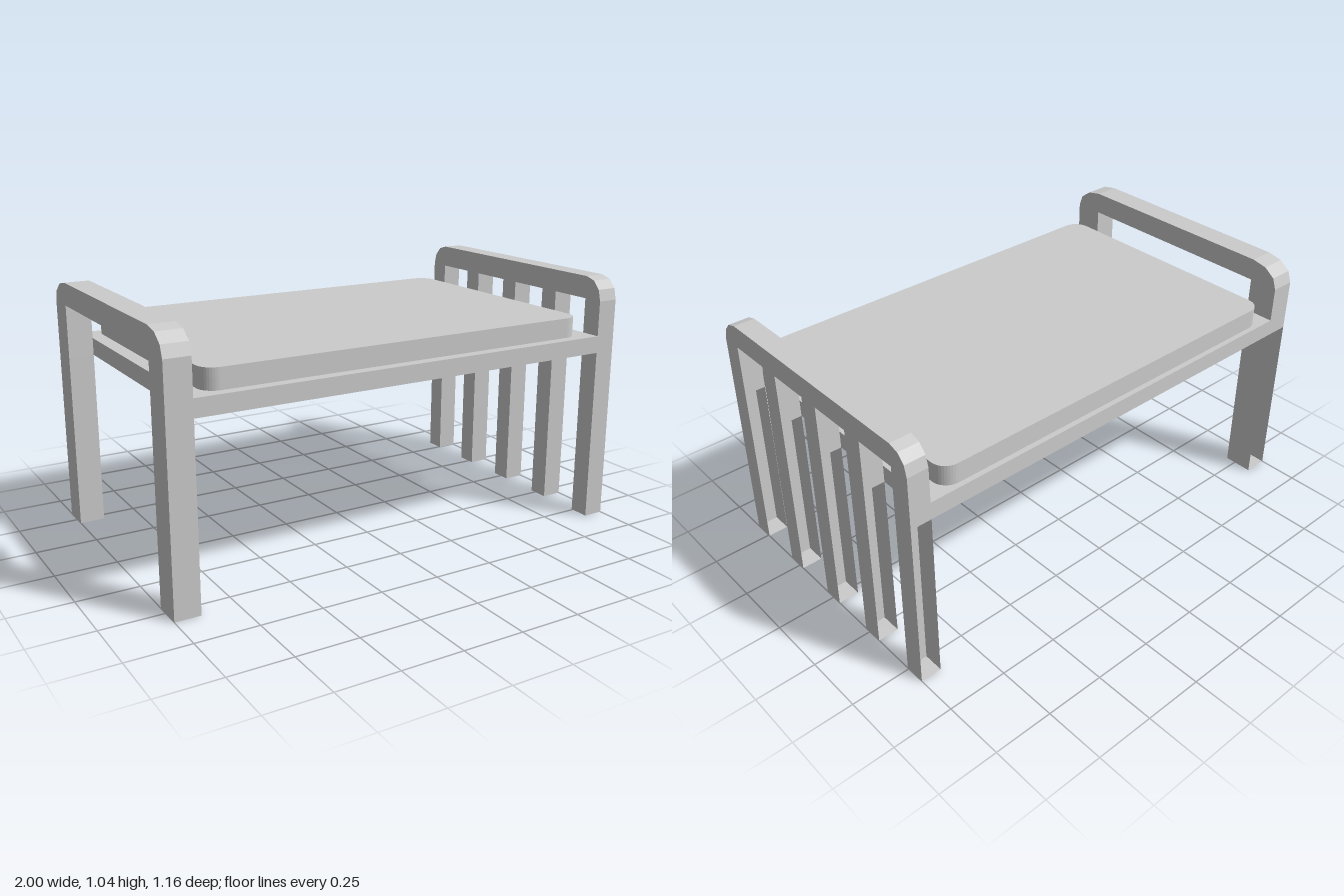
import * as THREE from 'three';

const HALF_DEPTH = 0.58, TOP = 1.037, BAR_BOTTOM = 0.944, DECK_BOTTOM = 0.727, DECK_TOP = 0.798;

// Copy of a geometry without the triangles whose corners satisfy the test
function dropFaces(geometry, test) {
  const g = geometry.index ? geometry.toNonIndexed() : geometry;
  const p = g.attributes.position, kept = [];
  for (let i = 0; i < p.count; i += 3) {
    const tri = [0, 1, 2].map(k => new THREE.Vector3().fromBufferAttribute(p, i + k));
    const normal = new THREE.Triangle(...tri).getNormal(new THREE.Vector3());
    if (!test(normal, tri)) tri.forEach(v => kept.push(v.x, v.y, v.z));
  }
  const out = new THREE.BufferGeometry();
  out.setAttribute('position', new THREE.Float32BufferAttribute(kept, 3));
  out.computeVertexNormals();
  return out;
}

// End frame: a rounded top bar and legs in one outline, legs given by their centre z
function endFrame(centres, width, xMin, xMax) {
  const points = [];
  for (const c of centres) {
    const a = c - width / 2, b = c + width / 2;
    for (const y of [BAR_BOTTOM, DECK_BOTTOM, 0]) points.push(new THREE.Vector2(a, y));
    for (const y of [0, DECK_BOTTOM, BAR_BOTTOM]) points.push(new THREE.Vector2(b, y));
  }
  // Faceted upper corners
  for (const [side, angles] of [[1, [30, 60, 90]], [-1, [90, 120, 150]]]) {
    for (const deg of angles) {
      const t = THREE.MathUtils.degToRad(deg);
      points.push(new THREE.Vector2(
        side * (HALF_DEPTH - width) + width * Math.cos(t),
        BAR_BOTTOM + (TOP - BAR_BOTTOM) * Math.sin(t)));
    }
  }
  const g = new THREE.ExtrudeGeometry(new THREE.Shape(points), { depth: xMax - xMin, bevelEnabled: false });
  g.rotateY(-Math.PI / 2).translate(xMax, 0, 0);
  // The legs are hollow and open at the back below the deck
  return dropFaces(g, (n, tri) => n.z < -0.9 && tri.every(v => v.y < DECK_BOTTOM + 0.001));
}

// Flat slab with rounded corners
function cushionGeometry(x, zMin, zMax, r, yMin, yMax) {
  const s = new THREE.Shape();
  const corners = [[x - r, zMax - r, 0], [r - x, zMax - r, 1], [r - x, zMin + r, 2], [x - r, zMin + r, 3]];
  for (const [cx, cz, q] of corners) {
    s.absarc(cx, -cz * -1, r, q * Math.PI / 2, (q + 1) * Math.PI / 2, false);
  }
  const g = new THREE.ExtrudeGeometry(s, { depth: yMax - yMin, bevelEnabled: false, curveSegments: 5 });
  return g.rotateX(Math.PI / 2).translate(0, yMax, 0);
}

export function createModel() {
  const model = new THREE.Group();
  model.name = 'bench';
  const grey = new THREE.MeshStandardMaterial({ color: 0xcccccc, side: THREE.DoubleSide });
  grey.name = 'light grey';
  const add = (name, geometry) => {
    const mesh = new THREE.Mesh(geometry, grey);
    mesh.name = name;
    model.add(mesh);
  };

  // Slatted end with five legs, and open end with two wider legs
  add('slattedEnd', endFrame([-0.537, -0.2685, 0, 0.2685, 0.537], 0.086, 0.913, 1));
  add('openEnd', endFrame([-0.5175, 0.5175], 0.125, -1, -0.897));

  // Deck: a shallow tray open underneath
  const deck = new THREE.BoxGeometry(1.81, DECK_TOP - DECK_BOTTOM, HALF_DEPTH * 2);
  deck.translate(0.008, (DECK_TOP + DECK_BOTTOM) / 2, 0);
  add('deck', dropFaces(deck, n => n.y < -0.9));

  // Cushion
  add('cushion', cushionGeometry(0.842, -0.56, 0.543, 0.065, DECK_TOP + 0.002, 0.882));
  return model;
}
